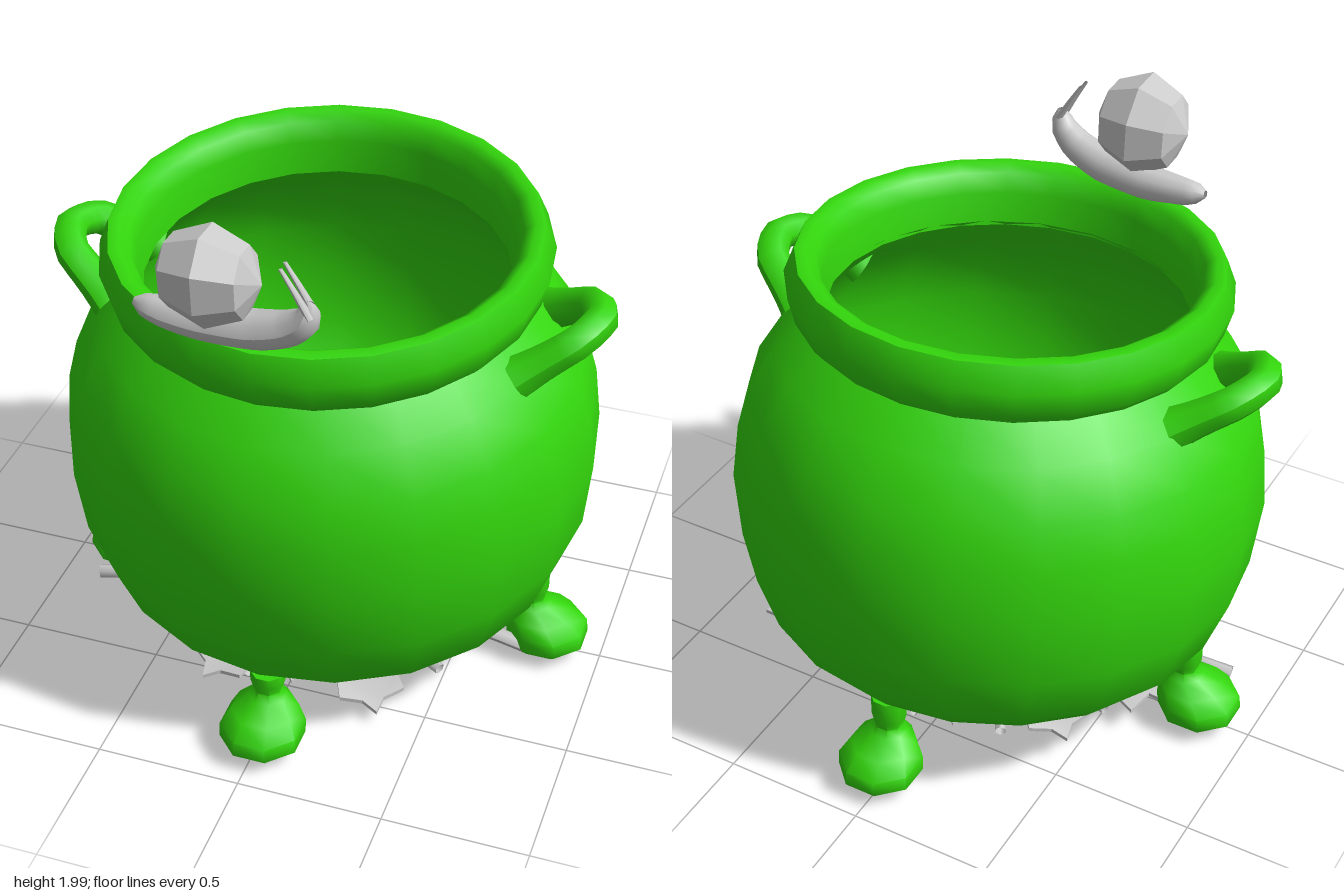
import * as THREE from 'three';
import { toCreasedNormals } from 'three/addons/utils/BufferGeometryUtils.js';

const green = new THREE.MeshStandardMaterial({ color: 0x33d60c, side: THREE.DoubleSide });
const greenFront = new THREE.MeshStandardMaterial({ color: 0x33d60c });
const grey = new THREE.MeshStandardMaterial({ color: 0xcccccc, side: THREE.DoubleSide });
const greyFlat = new THREE.MeshStandardMaterial({ color: 0xcccccc, flatShading: true });
const V = (x, y, z) => new THREE.Vector3(x, y, z);

function add(parent, name, geo, mat, x = 0, y = 0, z = 0) {
  const m = new THREE.Mesh(geo, mat);
  m.name = name;
  m.position.set(x, y, z);
  parent.add(m);
  return m;
}

const lathe = (pts, seg) => new THREE.LatheGeometry(pts.map(p => new THREE.Vector2(p[0], p[1])), seg);

// Tube along points whose thickness follows a rule of t (0..1)
function taperedTube(points, segs, sides, radius) {
  const curve = new THREE.CatmullRomCurve3(points, false, 'catmullrom', 0.3);
  const geo = new THREE.TubeGeometry(curve, segs, 1, sides);
  const pos = geo.attributes.position, v = V(0, 0, 0);
  for (let i = 0; i < pos.count; i++) {
    const t = Math.floor(i / (sides + 1)) / segs;
    const c = curve.getPointAt(t);
    v.fromBufferAttribute(pos, i).sub(c).multiplyScalar(radius(t)).add(c);
    pos.setXYZ(i, v.x, v.y, v.z);
  }
  geo.computeVertexNormals();
  return geo;
}

// Boot-like foot, open below: an eight-sided lathe whose rings are shifted outwards (+z)
function footGeometry(top) {
  const rings = [[0.115, 0.03, 0.80], [0.146, 0.06, 0.805], [0.145, 0.11, 0.80],
    [0.115, 0.155, 0.775], [0.065, 0.19, 0.745], [0.05, 0.215, 0.74], [0.06, 0.25, 0.74], [0.06, top, 0.74], [0, top, 0.74]];
  const geo = lathe(rings, 8).rotateY(Math.PI / 8), pos = geo.attributes.position;
  for (let i = 0; i < pos.count; i++) pos.setZ(i, pos.getZ(i) + rings[i % rings.length][2]);
  return toCreasedNormals(geo, 1);
}

// Serrated leaf pointing along +x, arched and cupped
function leafGeometry(len, width) {
  const s = new THREE.Shape(), n = 5;
  s.moveTo(0, 0);
  for (const side of [1, -1]) {
    for (let k = 1; k < 2 * n; k++) {
      const i = side > 0 ? k : 2 * n - k;
      const t = i / (2 * n);
      const w = width * Math.sin(Math.PI * Math.pow(t, 0.8)) * (i % 2 ? 0.68 : 1.05);
      s.lineTo(len * (t + (i % 2 ? 0 : 0.06)), side * w);
    }
    if (side > 0) s.lineTo(len, 0);
  }
  const geo = new THREE.ExtrudeGeometry(s, { depth: 0.014, bevelEnabled: false });
  geo.rotateX(-Math.PI / 2);
  const pos = geo.attributes.position;
  for (let i = 0; i < pos.count; i++) {
    const t = pos.getX(i) / len, w = pos.getZ(i) / width;
    pos.setY(i, pos.getY(i) + 0.04 * Math.sin(Math.PI * t) + 0.03 * w * w);
  }
  return toCreasedNormals(geo, 0.6);
}

function mushroom(parent, name, x, z, r, base, top) {
  const g = new THREE.Group();
  g.name = name;
  g.position.set(x, 0, z);
  const h = top - base;
  add(g, 'mushroomCap', lathe([[r * 0.2, base + h * 0.15], [r * 0.9, base], [r, base + h * 0.2],
    [r * 0.85, base + h * 0.6], [r * 0.5, base + h * 0.9], [0, top]], 18), grey);
  add(g, 'mushroomStem', lathe([[r * 0.28, 0.12], [r * 0.2, 0.22], [r * 0.3, base + h * 0.2]], 10), grey);
  parent.add(g);
}

export function createModel() {
  const root = new THREE.Group();
  root.name = 'cauldronWithSnail';

  // Cauldron shell, open below and leaning forwards
  const pot = new THREE.Group();
  pot.name = 'cauldron';
  pot.position.y = 0.82;
  pot.rotation.x = 0.08;
  root.add(pot);
  add(pot, 'cauldronBody', toCreasedNormals(lathe([
    [0.64, -0.6], [0.74, -0.545], [0.82, -0.46], [0.895, -0.25], [0.92, 0], [0.9, 0.2], [0.86, 0.35], [0.77, 0.5], [0.65, 0.62],
  ], 20), 0.9), green);
  add(pot, 'cauldronInside', toCreasedNormals(lathe([
    [0.615, 0.635], [0.67, 0.56], [0.745, 0.48], [0.835, 0.33], [0.875, 0.2], [0.895, 0], [0.87, -0.24], [0.79, -0.44],
    [0.63, -0.55], [0, -0.55],
  ], 20), 0.59), greenFront);
  add(pot, 'cauldronRim', toCreasedNormals(lathe([
    [0.61, 0.62], [0.69, 0.615], [0.72, 0.65], [0.745, 0.745], [0.71, 0.83], [0.675, 0.835], [0.64, 0.81], [0.62, 0.74], [0.61, 0.62],
  ], 24), 0.8), green, 0, 0, 0.01);

  // Side handles with angular bends
  for (const s of [1, -1]) {
    const path = [[0.69, 1.30, 0.245], [0.865, 1.425, 0.175], [0.915, 1.452, 0.06], [0.865, 1.43, -0.055], [0.69, 1.32, -0.14]]
      .map(p => V(s * p[0], p[1], p[2]));
    add(root, s > 0 ? 'leftHandle' : 'rightHandle', taperedTube(path, 16, 8, t => 0.058 + 0.02 * (2 * t - 1) ** 4), green);
  }

  // Four feet
  [['frontFoot', 0.29], ['leftFoot', 0.34], ['backFoot', 0.34], ['rightFoot', 0.34]].forEach(([name, top], i) => {
    add(root, name, footGeometry(top), green, i % 2 ? 0 : 0.018).rotation.y = i * Math.PI / 2;
  });

  // Snail sitting on the front of the rim
  const snail = new THREE.Group();
  snail.name = 'snail';
  root.add(snail);
  add(snail, 'snailBody', taperedTube([V(-0.40, 1.655, 0.715), V(-0.3, 1.64, 0.72), V(-0.17, 1.635, 0.725),
    V(0, 1.65, 0.74), V(0.11, 1.685, 0.755), V(0.175, 1.735, 0.77), V(0.19, 1.80, 0.775)], 20, 10,
  t => 0.066 * Math.pow(Math.sin(Math.PI * Math.min(0.998, 0.002 + t)), 0.32)), grey);
  const shell = add(snail, 'snailShell', new THREE.SphereGeometry(0.178, 8, 4), greyFlat, -0.13, 1.83, 0.77);
  shell.rotation.set(0.39, 0, Math.PI / 2);
  shell.scale.set(1.0, 0.95, 0.84);
  for (const z of [0.755, 0.795]) {
    add(snail, 'snailFeeler', taperedTube([V(0.195, 1.76, z), V(0.15, 1.84, z), V(0.105, 1.915, z)], 6, 6,
      t => 0.014 - 0.008 * t), grey);
  }

  // Mushrooms inside the pot, stems reaching down to the leaves
  mushroom(root, 'bigMushroom', -0.04, 0.04, 0.41, 0.35, 0.46);
  [[0.12, -0.32, 0.12], [0.33, -0.04, 0.11], [-0.32, -0.14, 0.10]].forEach(([x, z, r]) =>
    mushroom(root, 'smallMushroom', x, z, r, 0.33, 0.41));

  // Pile of leaves and twigs under the pot
  const pile = new THREE.Group();
  pile.name = 'leafPile';
  root.add(pile);
  add(pile, 'groundLeaf', leafGeometry(0.75, 0.34), grey, -0.37, 0, 0);
  // Large outer leaves: tip x, tip z, height, length, half width
  [[0.76, -0.4, 0.12, 0.62, 0.28], [-0.8, 0.1, 0.03, 0.6, 0.29], [-0.28, 0.6, 0.04, 0.5, 0.22], [0.35, 0.58, 0.04, 0.5, 0.22],
    [-0.15, -0.6, 0.15, 0.5, 0.22], [-0.5, -0.42, 0.09, 0.5, 0.22], [-0.56, 0.38, 0.13, 0.55, 0.24], [0.5, 0.2, 0.12, 0.5, 0.22],
    [0.15, -0.58, 0.08, 0.5, 0.2], [0.05, 0.6, 0.11, 0.5, 0.22]].forEach(([x, z, y, len, w]) => {
    const d = Math.hypot(x, z), k = (d - len) / d;
    const leaf = add(pile, 'outerLeaf', leafGeometry(len, w), grey, x * k, y, z * k);
    leaf.rotation.y = Math.atan2(-z, x);
  });
  for (let i = 0; i < 7; i++) {
    const a = i * 2.4 + 0.4;
    add(pile, 'innerLeaf', leafGeometry(0.42, 0.17), grey,
      Math.cos(a) * 0.12, 0.03 + (i % 4) * 0.04, -Math.sin(a) * 0.1).rotation.y = a;
  }
  for (let i = 0; i < 20; i++) {
    const a = i * 2.4 + 1.1, y = 0.04 + (i % 5) * 0.03;
    const c = Math.cos(a), s = Math.sin(a), r = 0.028 + 0.008 * (i % 3);
    add(pile, 'twig', taperedTube([V(c * 0.08, y + 0.03, s * 0.08), V(c * 0.34, y + 0.02, s * 0.34),
      V(c * 0.57, y, s * 0.57)], 6, 6, t => r * (1.05 - 0.6 * t)), grey);
  }
  for (const p of [[-0.84, 0.2], [0.76, 0.1]]) {
    add(pile, 'longTwig', taperedTube([V(p[0], 0.06, p[1]), V(p[0] * 0.7, 0.09, p[1] * 0.8), V(p[0] * 0.2, 0.13, 0.07)],
      6, 6, () => 0.026), grey);
  }
  return root;
}
